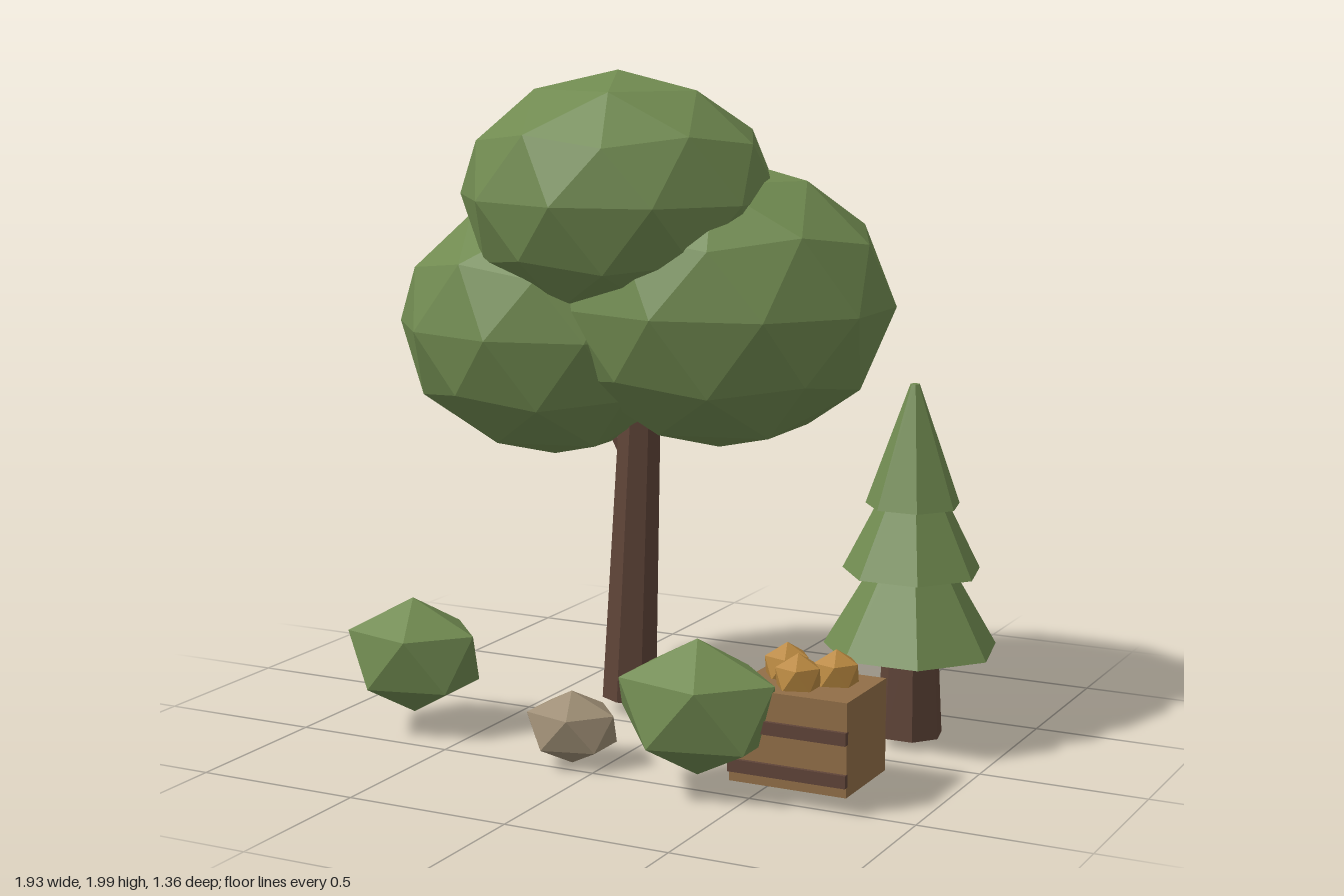
import * as THREE from 'three';

const mat = (name, color) => {
  const m = new THREE.MeshStandardMaterial({ color, flatShading: true });
  m.name = name;
  return m;
};

export function createModel() {
  const leaf = mat('leaf green', 0x708a50);
  const bark = mat('bark brown', 0x5f4438);
  const wood = mat('crate wood', 0x916e47);
  const fruitGold = mat('fruit gold', 0xb98840);
  const stone = mat('stone', 0x9d8d74);
  const model = new THREE.Group();

  const add = (parent, name, geo, material, x = 0, y = 0, z = 0) => {
    const m = new THREE.Mesh(geo, material);
    m.name = name;
    m.position.set(x, y, z);
    parent.add(m);
    return m;
  };
  const group = (name) => {
    const g = new THREE.Group();
    g.name = name;
    model.add(g);
    return g;
  };

  // Icosahedron ball standing on a corner, stretched to three radii
  const ball = (radii, detail, lift = 0) => {
    const geo = new THREE.IcosahedronGeometry(1, detail);
    geo.rotateZ(-Math.atan(2 / (1 + Math.sqrt(5))));
    const p = geo.attributes.position;
    // raise the low left corner for a slightly uneven lump
    for (let i = 0; i < p.count; i++) {
      if (p.getX(i) < -0.85 && p.getY(i) < -0.4) p.setY(i, p.getY(i) + lift);
    }
    geo.scale(...radii);
    geo.computeVertexNormals();
    return geo;
  };

  // Tapered seven-sided limb between two points
  const limb = (parent, name, a, b, r0, r1) => {
    const from = new THREE.Vector3(...a), to = new THREE.Vector3(...b);
    const dir = to.clone().sub(from);
    const m = add(parent, name, new THREE.CylinderGeometry(r1, r0, dir.length(), 7), bark);
    m.position.copy(from).add(to).multiplyScalar(0.5);
    m.quaternion.setFromUnitVectors(new THREE.Vector3(0, 1, 0), dir.normalize());
  };

  // Broad tree
  const tree = group('broadTree');
  limb(tree, 'trunk', [-0.212, 0.045, -0.132], [-0.165, 1.3, -0.145], 0.086, 0.057);
  limb(tree, 'branch', [-0.19, 0.78, -0.14], [-0.37, 1.08, -0.16], 0.035, 0.025);
  [
    ['crownTop', [0.5, 0.378, 0.43], [-0.21, 1.622, -0.065]],
    ['crownLeft', [0.546, 0.446, 0.47], [0.06, 1.298, -0.21]],
    ['crownRight', [0.505, 0.41, 0.43], [-0.49, 1.203, -0.16]],
  ].forEach(([name, radii, pos]) => add(tree, name, ball(radii, 1), leaf, ...pos));

  // Pine with three tiers
  const pine = group('pine');
  pine.position.set(0.705, 0, -0.195);
  pine.rotation.y = Math.PI;
  add(pine, 'pineTrunk', new THREE.CylinderGeometry(0.08, 0.1, 0.36, 7), bark, 0, 0.215, 0);
  [
    [0.30, 0.70, 0.265, 0.03],
    [0.535, 0.89, 0.21, 0.03],
    [0.735, 1.097, 0.143, 0.014],
  ].forEach(([y0, y1, r0, r1], i) => {
    add(pine, 'pineTier' + (i + 1), new THREE.CylinderGeometry(r1, r0, y1 - y0, 7), leaf, 0, (y0 + y1) / 2, 0);
  });

  // Bushes and rock
  add(model, 'bushLeft', ball([0.268, 0.198, 0.206], 0, 0.33), leaf, 0.34, 0.252, 0.505);
  add(model, 'bushRight', ball([0.236, 0.179, 0.188], 0, 0.33), leaf, -0.7, 0.237, 0.35);
  add(model, 'rock', ball([0.154, 0.109, 0.132], 0, 0.33), stone, -0.102, 0.115, 0.437);

  // Crate with two front straps and three fruits
  const crate = group('crate');
  add(crate, 'crateBox', new THREE.BoxGeometry(0.355, 0.27, 0.282), wood, 0.622, 0.19, 0.373);
  [0.103, 0.224].forEach((y) => {
    add(crate, 'crateStrap', new THREE.BoxGeometry(0.357, 0.037, 0.02), bark, 0.622, y, 0.516);
  });
  [[0.535, 0.325], [0.69, 0.335], [0.612, 0.422]].forEach(([x, z]) => {
    add(crate, 'fruit', ball([0.073, 0.068, 0.073], 0), fruitGold, x, 0.353, z);
  });

  return model;
}
